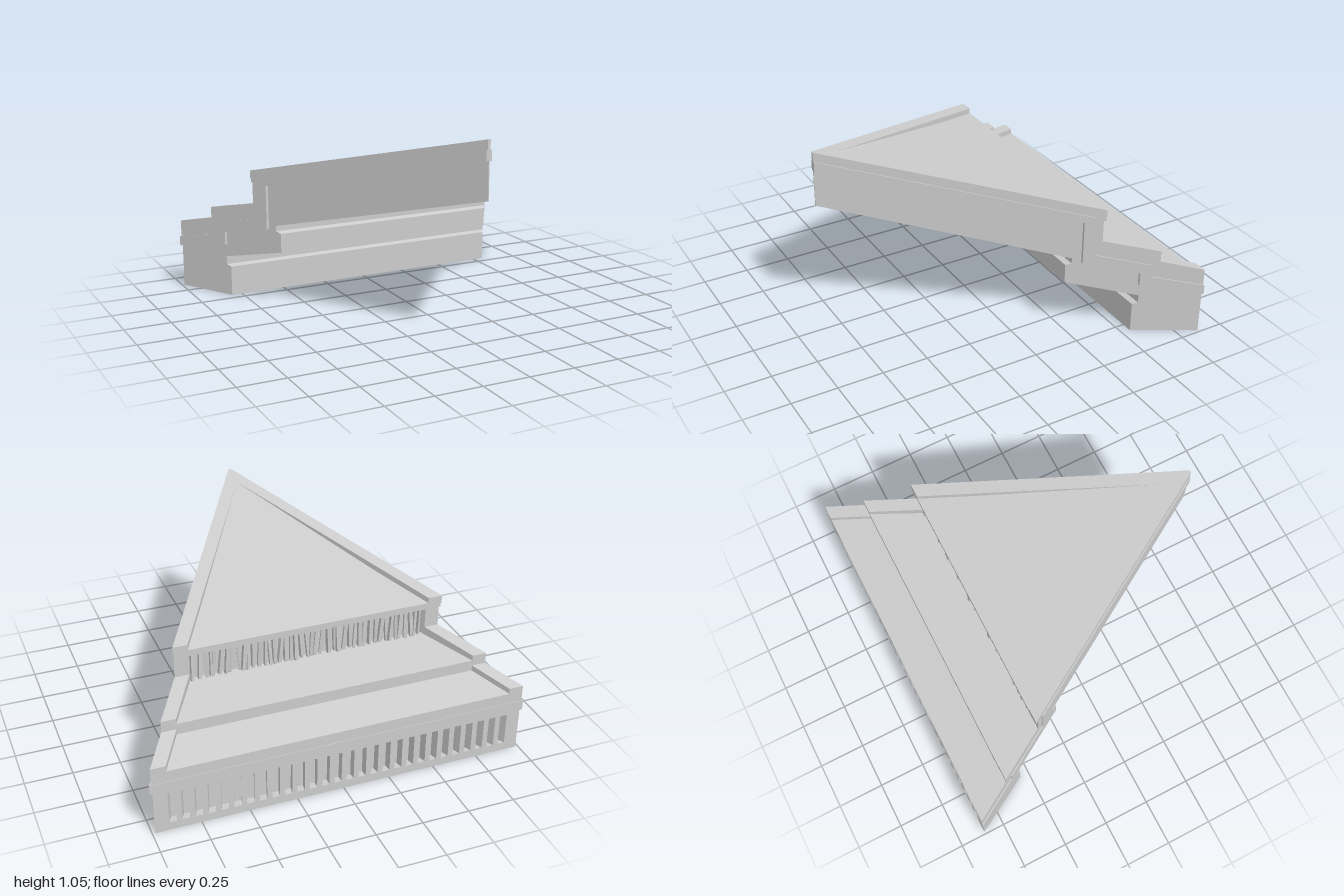
import * as THREE from 'three';

const TIP = 0.855, BACK = -0.86;
// half width of the wedge at a given depth
const halfWidth = z => 0.015 + (TIP - z) * 0.985 / (TIP - BACK);

const material = new THREE.MeshStandardMaterial({ color: 0xcccccc, flatShading: true });

// Extrude a side profile of [z, y] points sideways between two x rules.
function wedge(name, profile, xStart, xEnd) {
  const shape = new THREE.Shape(profile.map(p => new THREE.Vector2(...p)));
  const geo = new THREE.ExtrudeGeometry(shape, { depth: 1, bevelEnabled: false });
  const pos = geo.attributes.position;
  for (let i = 0; i < pos.count; i++) {
    const z = pos.getX(i), y = pos.getY(i), s = pos.getZ(i);
    pos.setXYZ(i, THREE.MathUtils.lerp(xStart(z), xEnd(z), s), y, z);
  }
  geo.computeVertexNormals();
  const mesh = new THREE.Mesh(geo, material);
  mesh.name = name;
  return mesh;
}

function fullWedge(name, profile, inset) {
  return wedge(name, profile, z => halfWidth(z) - inset, z => inset - halfWidth(z));
}

export function createModel() {
  const model = new THREE.Group();
  model.name = 'steppedRoofWedge';

  // Stepped underside and slightly sunken roof panels
  model.add(fullWedge('roofBody', [
    [TIP, 1.02], [-0.41, 0.70], [-0.41, 0.665], [-0.37, 0.665], [-0.37, 0.51],
    [-0.66, 0.46], [-0.66, 0.40], [BACK, 0.35], [BACK, 0.24], [-0.82, 0.24],
    [-0.82, 0], [-0.55, 0], [-0.55, 0.165], [-0.577, 0.175], [-0.577, 0.22],
    [-0.24, 0.30], [-0.24, 0.405], [-0.268, 0.415], [-0.268, 0.445], [TIP, 0.75],
  ], 0.013));

  // Projecting moulding that follows the steps
  model.add(fullWedge('sideMoulding', [
    [TIP, 1.0], [-0.36, 0.69], [-0.36, 0.47], [-0.62, 0.41], [-0.62, 0.34], [BACK - 0.002, 0.29],
    [BACK - 0.002, 0.235], [-0.57, 0.29], [-0.57, 0.36], [-0.31, 0.42], [-0.31, 0.66], [TIP, 0.945],
  ], 0));

  // Raised rims along both sloping edges
  const rim = [
    [TIP, 1.05], [0.73, 1.018], [-0.41, 0.73], [-0.41, 0.69], [-0.397, 0.68], [-0.397, 0.55],
    [-0.66, 0.49], [-0.66, 0.43], [BACK, 0.38], [BACK, 0.29], [-0.62, 0.34], [-0.62, 0.41],
    [-0.36, 0.47], [-0.36, 0.69], [0.73, 0.968], [TIP, 1.0],
  ];
  const outer = z => halfWidth(z) - 0.008;
  const inner = z => Math.max(0, halfWidth(z) - 0.085);
  model.add(wedge('leftRim', rim, outer, inner));
  model.add(wedge('rightRim', rim, z => -inner(z), z => -outer(z)));

  // Back wall with a row of upright slots
  const wall = new THREE.Shape([[-1, 0], [1, 0], [1, 0.24], [-1, 0.24]].map(p => new THREE.Vector2(...p)));
  const slots = 28, pitch = 1.88 / slots;
  for (let i = 0; i < slots; i++) {
    const x = -0.94 + (i + 0.5) * pitch, w = pitch * 0.29;
    wall.holes.push(new THREE.Path([[x - w, 0.045], [x - w, 0.22], [x + w, 0.22], [x + w, 0.045]]
      .map(p => new THREE.Vector2(...p))));
  }
  const wallGeo = new THREE.ExtrudeGeometry(wall, { depth: 0.04, bevelEnabled: false });
  wallGeo.translate(0, 0, BACK);
  const pos = wallGeo.attributes.position;
  for (let i = 0; i < pos.count; i++) pos.setX(i, pos.getX(i) * (halfWidth(pos.getZ(i)) - 0.013));
  wallGeo.computeVertexNormals();
  const slottedWall = new THREE.Mesh(wallGeo, material);
  slottedWall.name = 'slottedBackWall';
  model.add(slottedWall);

  // Uneven weathered slats under the upper eave
  let seed = 7;
  const rand = () => (seed = (seed * 16807) % 2147483647) / 2147483647;
  const slats = new THREE.Group();
  slats.name = 'eaveSlats';
  const count = 44;
  for (let i = 0; i < count; i++) {
    const slat = new THREE.Mesh(new THREE.BoxGeometry(0.01 + 0.012 * rand(), 0.165, 0.02), material);
    slat.name = 'slat';
    slat.position.set(-0.64 + 1.28 * (i + 0.2 + 0.6 * rand()) / count, 0.59, -0.378 - 0.01 * rand());
    slat.rotation.set(0.12 * (rand() - 0.5), 0.5 * (rand() - 0.5), 0.2 * (rand() - 0.5));
    slats.add(slat);
  }
  model.add(slats);
  return model;
}
